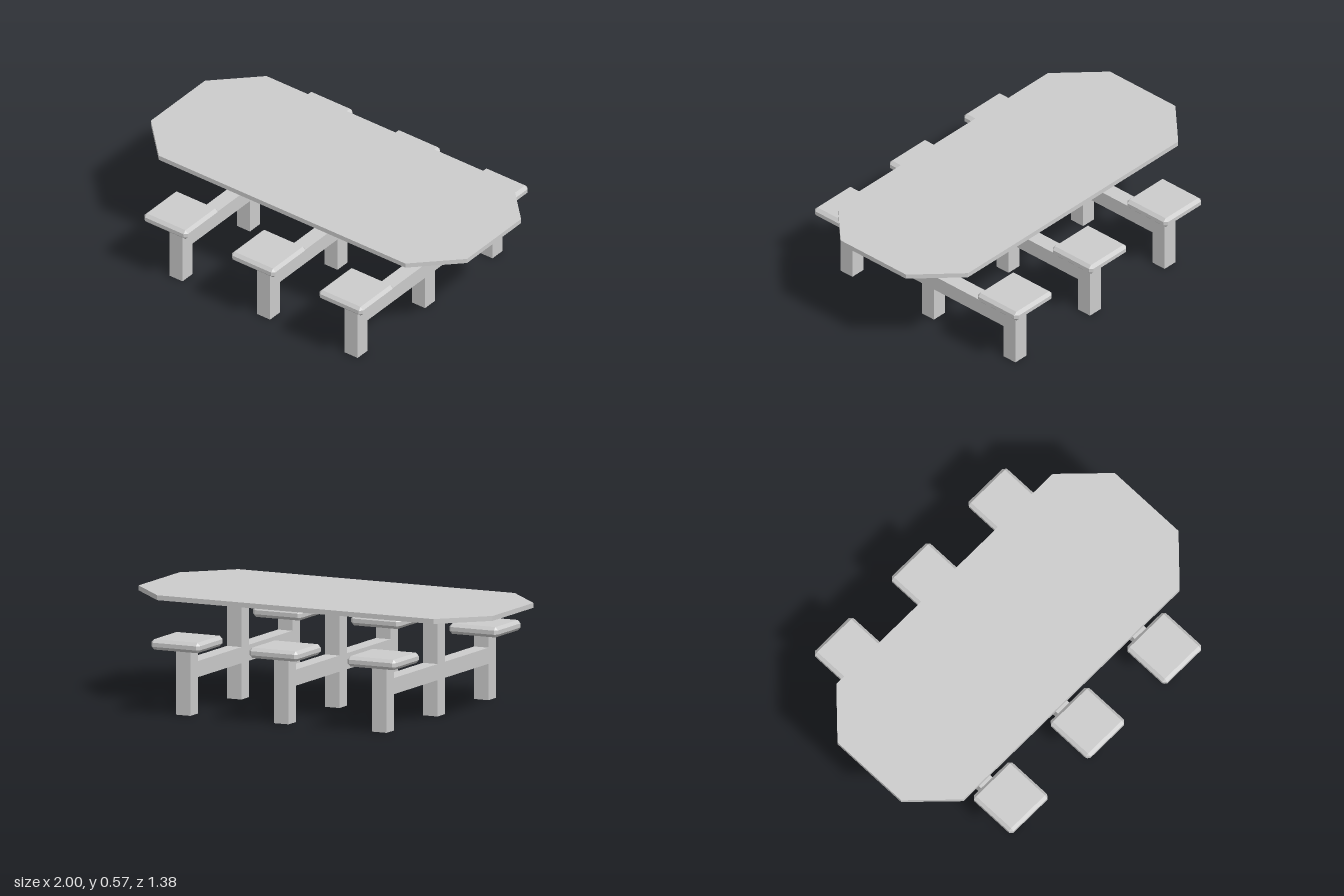
import * as THREE from 'three';
import { ConvexGeometry } from 'three/addons/geometries/ConvexGeometry.js';

const material = new THREE.MeshStandardMaterial({ color: 0xcccccc, flatShading: true });
const POST = 0.082;      // square section of posts
const SPACING = 0.554;   // distance between frames, and from centre to seat

function addMesh(parent, name, geometry, x, y, z) {
  const mesh = new THREE.Mesh(geometry, material);
  mesh.name = name;
  mesh.position.set(x, y, z);
  parent.add(mesh);
}

// Box with every edge and corner chamfered by c
function chamferedBox(w, h, d, c) {
  const half = [w / 2, h / 2, d / 2];
  const points = [];
  for (const sx of [-1, 1]) for (const sy of [-1, 1]) for (const sz of [-1, 1]) {
    for (let axis = 0; axis < 3; axis++) {
      const p = [sx, sy, sz].map((s, i) => s * (half[i] - (i === axis ? 0 : c)));
      points.push(new THREE.Vector3(...p));
    }
  }
  return new ConvexGeometry(points);
}

// Rectangular top with clipped corners, lying flat
function tabletopGeometry() {
  const x = 1, z = 0.443, cx = 0.78, cz = 0.222;
  const outline = [[cx, -z], [x, -cz], [x, cz], [cx, z], [-cx, z], [-x, cz], [-x, -cz], [-cx, -z]];
  const shape = new THREE.Shape(outline.map(([a, b]) => new THREE.Vector2(a, b)));
  return new THREE.ExtrudeGeometry(shape, { depth: 0.025, bevelEnabled: false }).rotateX(-Math.PI / 2);
}

export function createModel() {
  const model = new THREE.Group();
  model.name = 'tableWithSeats';
  addMesh(model, 'tabletop', tabletopGeometry(), 0, 0.545, 0);

  const centrePost = new THREE.BoxGeometry(POST, 0.545, POST);
  const seatPost = new THREE.BoxGeometry(POST, 0.338, POST);
  const beam = new THREE.BoxGeometry(POST, 0.082, SPACING - POST);
  const seat = chamferedBox(0.276, 0.053, 0.276, 0.016);

  // Three frames, each with a centre post and a seat on both sides
  for (const x of [-SPACING, 0, SPACING]) {
    const frame = new THREE.Group();
    frame.name = 'frame';
    frame.position.x = x;
    addMesh(frame, 'centrePost', centrePost, 0, 0.2725, 0);
    for (const side of [-1, 1]) {
      addMesh(frame, 'crossBeam', beam, 0, 0.226, side * SPACING / 2);
      addMesh(frame, 'seatPost', seatPost, 0, 0.169, side * SPACING);
      addMesh(frame, 'seat', seat, 0, 0.3635, side * SPACING);
    }
    model.add(frame);
  }
  return model;
}
